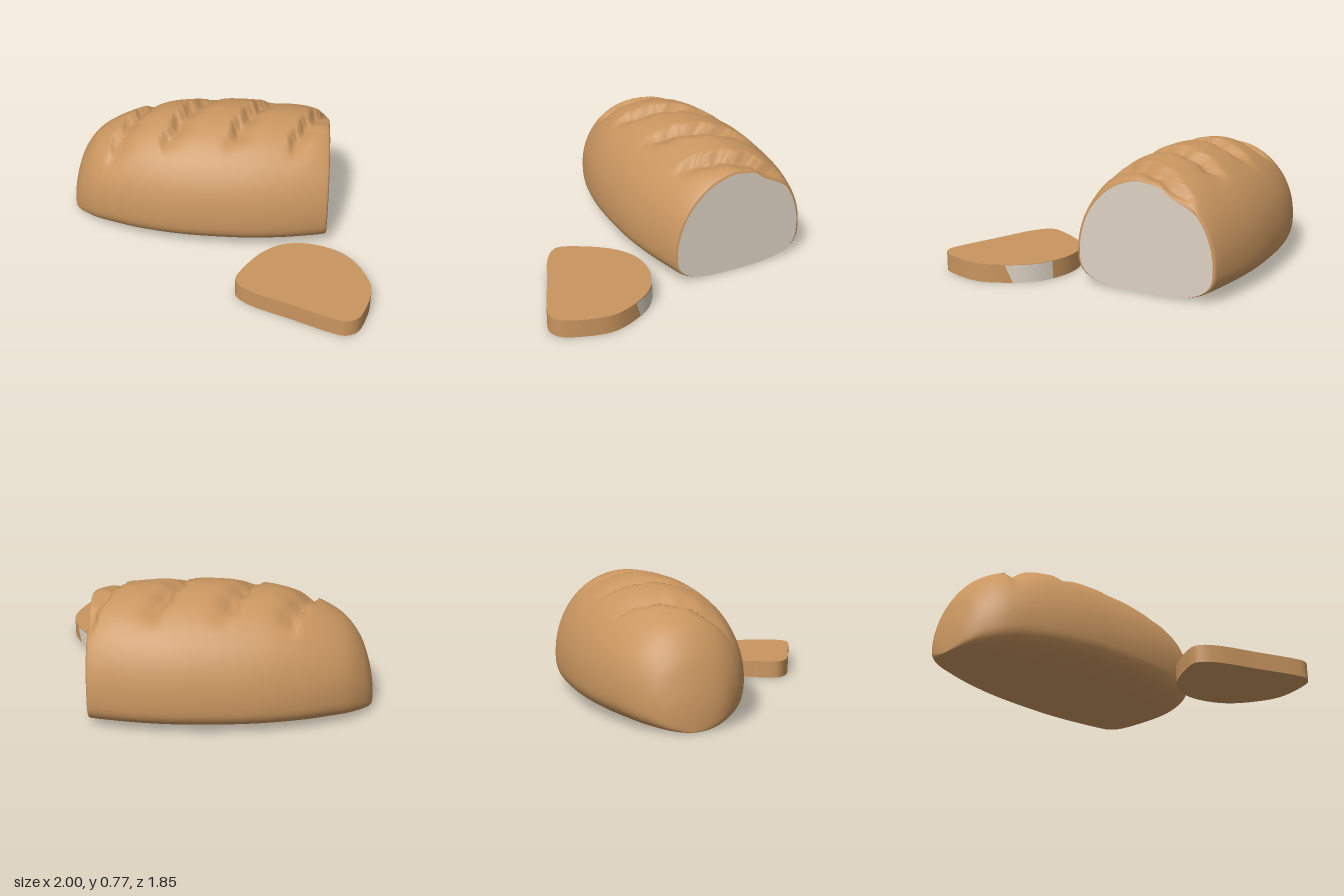
import * as THREE from 'three';
import { toCreasedNormals } from 'three/addons/utils/BufferGeometryUtils.js';

const RINGS = 150, SIDES = 80, LOAF_Z = -0.395;

// Loaf outline along its length: x, half width, height
const profile = new THREE.CatmullRomCurve3([
  [-1, 0, 0.04], [-0.99, 0.09, 0.15], [-0.965, 0.17, 0.27], [-0.91, 0.25, 0.42],
  [-0.8, 0.345, 0.56], [-0.6, 0.435, 0.67], [-0.4, 0.49, 0.73], [-0.2, 0.522, 0.755],
  [0.05, 0.536, 0.768], [0.25, 0.533, 0.765], [0.45, 0.51, 0.75], [0.6, 0.48, 0.735],
  [0.7, 0.455, 0.7], [0.725, 0.445, 0.685], [0.732, 0.43, 0.67],
].map((p) => new THREE.Vector3(...p)));

// Depth of the diagonal slashes: a sharp drop, then a slow rise
const slashes = [-0.59, -0.22, 0.2, 0.6];
function slashDepth(x, z) {
  const fade = 1 - THREE.MathUtils.smoothstep(Math.abs(z), 0.2, 0.36);
  let depth = 0;
  for (const s of slashes) {
    const d = x + 0.43 * z - s + 0.012 * Math.sin(z * 40 + s * 9);
    const cut = d < 0 ? THREE.MathUtils.smoothstep(d, -0.03, 0) : Math.exp(-((d / 0.09) ** 2));
    depth = Math.max(depth, 0.055 * cut);
  }
  return depth * fade;
}

// One point of a cross-section: domed top, flattened bottom
function loafPoint(t, angle) {
  const { x, y: w, z: h } = profile.getPoint(t);
  const c = Math.cos(angle), s = Math.sin(angle);
  const belly = Math.min(0.2, h * 0.32);
  if (s < 0) {
    const z = w * Math.sign(c) * Math.abs(c) ** (2 / 3);
    return [x, belly * (1 - Math.abs(s) ** (2 / 3)), LOAF_Z + z];
  }
  const k = 1 - slashDepth(x, w * c) * s / 0.5;
  return [x, belly + (h - belly) * s * k, LOAF_Z + w * c * k];
}

function buildGeometry(positions, index) {
  const g = new THREE.BufferGeometry();
  g.setAttribute('position', new THREE.Float32BufferAttribute(positions, 3));
  g.setIndex(index);
  g.computeVertexNormals();
  return g;
}

function loafCrust() {
  const pos = [], index = [];
  for (let i = 0; i <= RINGS; i++) {
    for (let j = 0; j < SIDES; j++) {
      pos.push(...loafPoint(i / RINGS, (j / SIDES) * Math.PI * 2));
      if (i === RINGS) continue;
      const a = i * SIDES + j, b = i * SIDES + ((j + 1) % SIDES);
      index.push(a, a + SIDES, b, b, a + SIDES, b + SIDES);
    }
  }
  return buildGeometry(pos, index);
}

// Flat cut end closing the last cross-section
function loafCut() {
  const pos = [0.732, 0.3, LOAF_Z], index = [];
  for (let j = 0; j < SIDES; j++) {
    pos.push(...loafPoint(1, (j / SIDES) * Math.PI * 2));
    index.push(0, 1 + ((j + 1) % SIDES), 1 + j);
  }
  return buildGeometry(pos, index);
}

// Slice outline, seen from above: x, z
const SLICE_H = 0.113;
const sliceOutline = new THREE.CatmullRomCurve3([
  [0.16, 0.57], [0.22, 0.43], [0.33, 0.28], [0.45, 0.2], [0.58, 0.18], [0.72, 0.21],
  [0.85, 0.29], [0.95, 0.44], [0.995, 0.6], [0.96, 0.77], [0.9, 0.89], [0.83, 0.92],
  [0.75, 0.9], [0.5, 0.79], [0.27, 0.69], [0.18, 0.62],
].map(([x, z]) => new THREE.Vector3(x, 0, z)), true).getPoints(120);

function sliceBody() {
  const shape = new THREE.Shape(sliceOutline.slice(0, -1).map((p) => new THREE.Vector2(p.x, p.z)));
  const g = new THREE.ExtrudeGeometry(shape, { depth: SLICE_H, bevelEnabled: false });
  g.rotateX(Math.PI / 2).translate(0, SLICE_H, 0);
  return toCreasedNormals(g, 0.7);
}

// Pale patch along the rim of the slice, a little shorter at the bottom
function slicePatch() {
  const rim = sliceOutline.filter((p) => p.x > 0.7 && p.z > 0.215 && p.z < 0.44);
  const pos = [], index = [];
  rim.forEach((p, i) => {
    const low = p.clone().lerp(rim[Math.max(0, i - 2)], i / rim.length);
    for (const [q, y] of [[low, 0.001], [p, SLICE_H - 0.001]]) {
      pos.push(q.x + (q.x - 0.6) * 0.015, y, q.z + (q.z - 0.57) * 0.015);
    }
    const a = i * 2;
    if (i) index.push(a - 2, a - 1, a, a, a - 1, a + 1);
  });
  return buildGeometry(pos, index);
}

export function createModel() {
  const crust = new THREE.MeshStandardMaterial({ color: 0xc8955f });
  crust.name = 'crust';
  const crumb = new THREE.MeshStandardMaterial({ color: 0xdcd2c3, side: THREE.DoubleSide });
  crumb.name = 'crumb';

  const model = new THREE.Group();
  model.name = 'breadLoaf';
  const add = (name, geometry, material) => {
    const mesh = new THREE.Mesh(geometry, material);
    mesh.name = name;
    model.add(mesh);
  };
  add('loafCrust', loafCrust(), crust);
  add('loafCutFace', loafCut(), crumb);
  add('endSlice', sliceBody(), crust);
  add('endSlicePatch', slicePatch(), crumb);
  return model;
}
